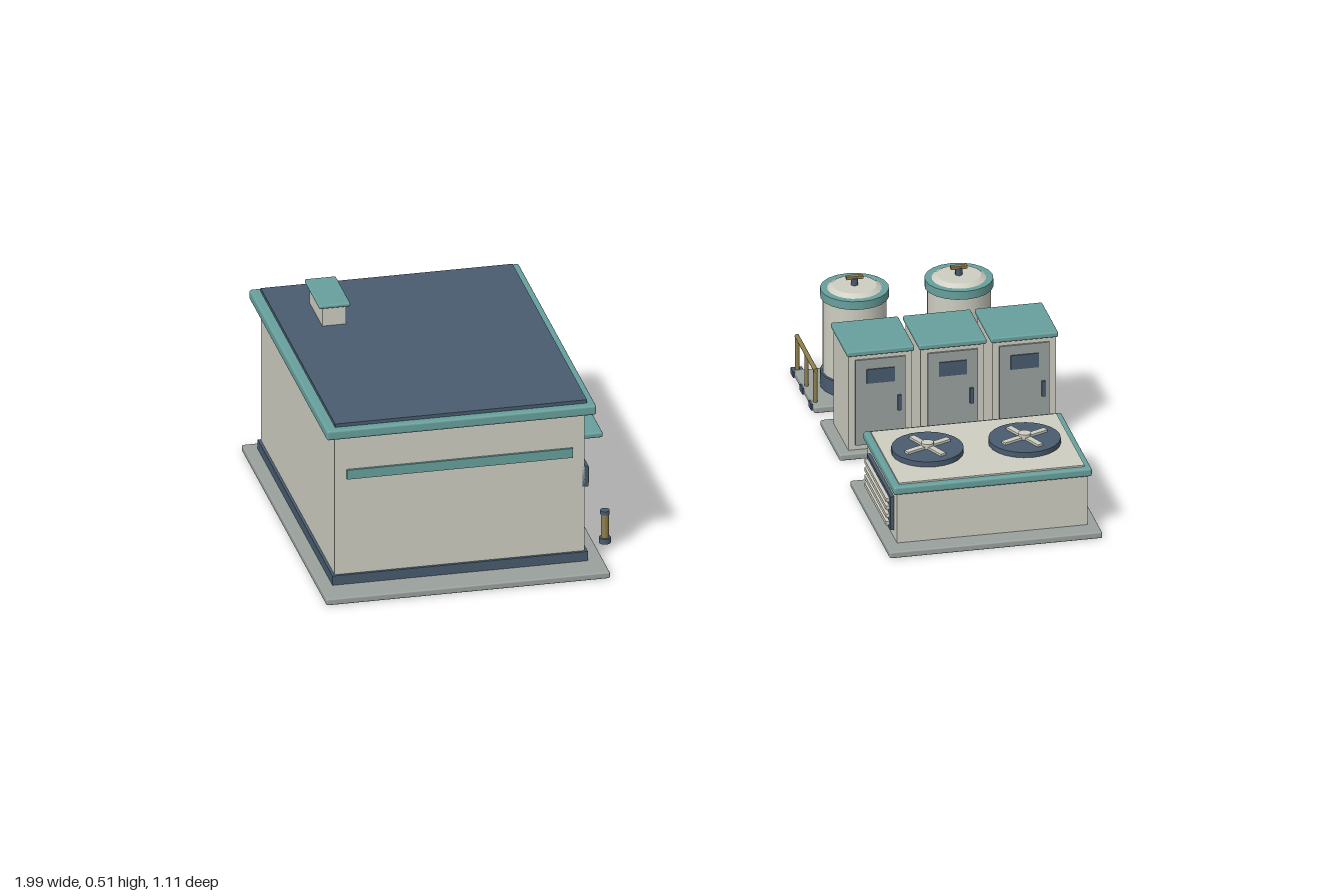
import * as THREE from 'three';
import { RoundedBoxGeometry } from 'three/addons/geometries/RoundedBoxGeometry.js';

const mat = (name, color) => Object.assign(new THREE.MeshStandardMaterial({ color }), { name });
const CREAM = mat('cream', 0xcfcec2), TEAL = mat('teal', 0x68a09d), NAVY = mat('navy', 0x495c6f);
const GREY = mat('concreteGrey', 0x9aa29e), BRASS = mat('brass', 0x8f7f4c);

function add(parent, name, geo, material, x = 0, y = 0, z = 0) {
  const m = new THREE.Mesh(geo, material);
  m.name = name;
  m.position.set(x, y, z);
  parent.add(m);
  return m;
}

// Box given by its extents; bevel > 0 softens the edges
function box(parent, name, material, x0, x1, y0, y1, z0, z1, bevel = 0) {
  const w = x1 - x0, h = y1 - y0, d = z1 - z0;
  const geo = bevel ? new RoundedBoxGeometry(w, h, d, 2, bevel) : new THREE.BoxGeometry(w, h, d);
  return add(parent, name, geo, material, (x0 + x1) / 2, (y0 + y1) / 2, (z0 + z1) / 2);
}

// Upright cylinder from y0 to y1
function drum(parent, name, material, x, z, y0, y1, r, sides = 16, rTop = r) {
  const geo = new THREE.CylinderGeometry(rTop, r, y1 - y0, sides);
  return add(parent, name, geo, material, x, (y0 + y1) / 2, z);
}

function group(parent, name) {
  const g = new THREE.Group();
  g.name = name;
  parent.add(g);
  return g;
}

// Louvre facing along x: dark panel with light slats
function louvre(parent, x, dir, y0, y1, z0, z1, slats) {
  const span = (a, b) => [Math.min(x + a * dir, x + b * dir), Math.max(x + a * dir, x + b * dir)];
  box(parent, 'louvrePanel', NAVY, ...span(0, 0.009), y0, y1, z0, z1);
  const step = (y1 - y0) / (slats + 0.3);
  for (let i = 0; i < slats; i++) {
    const y = y0 + step * (i + 0.65);
    box(parent, 'louvreSlat', CREAM, ...span(0, 0.018), y - step * 0.24, y + step * 0.24, z0 + 0.012, z1 - 0.012);
  }
}

function building(root) {
  const g = group(root, 'building');
  box(g, 'slab', GREY, -1, -0.285, 0, 0.017, -0.42, 0.51, 0.004);
  box(g, 'walls', CREAM, -0.96, -0.33, 0.015, 0.42, -0.38, 0.425);
  box(g, 'plinth', NAVY, -0.967, -0.323, 0.015, 0.042, -0.387, 0.432);
  box(g, 'roofTrim', TEAL, -0.985, -0.305, 0.417, 0.443, -0.405, 0.45, 0.006);
  box(g, 'roof', NAVY, -0.96, -0.325, 0.435, 0.452, -0.385, 0.43);
  box(g, 'roofVent', CREAM, -0.862, -0.802, 0.45, 0.503, -0.278, -0.135);
  box(g, 'roofVentCap', TEAL, -0.872, -0.793, 0.502, 0.512, -0.288, -0.125, 0.004);
  for (const z of [0.427, -0.382]) {
    box(g, 'wallStripe', TEAL, -0.93, -0.36, 0.299, 0.324, z - 0.004, z + 0.004);
  }

  // Double door with canopy
  box(g, 'doorFrame', NAVY, -0.335, -0.322, 0.02, 0.268, 0.02, 0.246);
  for (const [z0, z1, hz] of [[0.031, 0.131, 0.111], [0.1345, 0.235, 0.153]]) {
    box(g, 'doorLeaf', GREY, -0.33, -0.317, 0.028, 0.256, z0, z1);
    box(g, 'doorHandle', CREAM, -0.32, -0.308, 0.126, 0.162, hz - 0.005, hz + 0.005);
  }
  box(g, 'canopy', TEAL, -0.335, -0.257, 0.288, 0.303, -0.03, 0.31, 0.005);

  // Side window and louvre
  box(g, 'windowFrame', NAVY, -0.335, -0.32, 0.215, 0.27, 0.293, 0.425);
  box(g, 'windowPane', CREAM, -0.322, -0.317, 0.222, 0.263, 0.3, 0.418);
  louvre(g, -0.33, 1, 0.158, 0.272, -0.293, -0.11, 4);

  // Bollards beside the door
  for (const z of [-0.05, 0.3]) {
    drum(g, 'bollardFoot', NAVY, -0.25, z, 0, 0.014, 0.015);
    drum(g, 'bollard', BRASS, -0.25, z, 0.012, 0.078, 0.01);
    drum(g, 'bollardCap', NAVY, -0.25, z, 0.077, 0.087, 0.012);
  }
}

function coolingUnit(root) {
  const g = group(root, 'coolingUnit');
  box(g, 'slab', GREY, 0.41, 0.946, 0, 0.017, 0.12, 0.553, 0.004);
  box(g, 'housing', CREAM, 0.44, 0.92, 0.015, 0.155, 0.18, 0.502);
  box(g, 'housingTrim', TEAL, 0.43, 0.93, 0.15, 0.172, 0.172, 0.512, 0.006);
  box(g, 'topPanel', CREAM, 0.446, 0.914, 0.165, 0.176, 0.187, 0.496);
  louvre(g, 0.44, -1, 0.038, 0.128, 0.21, 0.47, 4);
  for (const x of [0.555, 0.8]) {
    const fan = group(g, 'fan');
    drum(fan, 'fanRing', NAVY, x, 0.335, 0.174, 0.19, 0.089, 24);
    for (let i = 0; i < 2; i++) {
      const blade = add(fan, 'fanBlade', new THREE.BoxGeometry(0.13, 0.006, 0.016), CREAM, x, 0.193, 0.335);
      blade.rotation.y = 0.42 + i * Math.PI / 2;
    }
    drum(fan, 'fanHub', CREAM, x, 0.335, 0.19, 0.203, 0.016, 12);
  }
}

function cabinets(root) {
  const g = group(root, 'cabinets');
  box(g, 'slab', GREY, 0.418, 0.992, 0, 0.017, -0.243, -0.03, 0.004);
  for (const x of [0.525, 0.707, 0.888]) {
    const c = group(g, 'cabinet');
    c.position.x = x;
    box(c, 'cabinetBody', CREAM, -0.08, 0.08, 0.015, 0.275, -0.217, -0.052);
    box(c, 'cabinetCap', TEAL, -0.085, 0.085, 0.272, 0.286, -0.225, -0.044, 0.004);
    box(c, 'cabinetDoor', GREY, -0.063, 0.063, 0.03, 0.26, -0.054, -0.047);
    box(c, 'cabinetDisplay', NAVY, -0.035, 0.035, 0.196, 0.234, -0.05, -0.044);
    box(c, 'cabinetHandle', NAVY, 0.042, 0.051, 0.118, 0.158, -0.05, -0.039);
  }
}

function tanks(root) {
  const g = group(root, 'tanks');
  const xs = [0.547, 0.81], z = -0.428;
  box(g, 'slab', GREY, 0.42, 0.922, 0, 0.017, -0.54, -0.315, 0.004);
  for (const x of xs) {
    const t = group(g, 'tank');
    drum(t, 'tankBase', NAVY, x, z, 0.015, 0.056, 0.085, 20);
    drum(t, 'tankBody', CREAM, x, z, 0.05, 0.26, 0.079, 20);
    drum(t, 'tankBand', TEAL, x, z, 0.256, 0.278, 0.085, 20);
    drum(t, 'tankLid', CREAM, x, z, 0.275, 0.286, 0.072, 20, 0.055);
    drum(t, 'valveStem', NAVY, x, z, 0.284, 0.305, 0.009, 10);
    box(t, 'valveHandle', BRASS, x - 0.021, x + 0.021, 0.302, 0.31, z - 0.006, z + 0.006);
  }

  // Outlets drop from each tank into one connecting pipe
  const pipe = (name, a, b) => {
    const path = new THREE.LineCurve3(new THREE.Vector3(...a), new THREE.Vector3(...b));
    add(g, name, new THREE.TubeGeometry(path, 1, 0.009, 10), TEAL);
  };
  const pz = -0.3, top = 0.094, low = 0.034;
  for (const x of xs) {
    pipe('outletPipe', [x, top, -0.36], [x, top, pz]);
    pipe('dropPipe', [x, top, pz], [x, low, pz]);
    for (const y of [top, low]) add(g, 'pipeElbow', new THREE.SphereGeometry(0.0095, 10, 8), TEAL, x, y, pz);
  }
  pipe('connectingPipe', [xs[0], low, pz], [xs[1], low, pz]);
}

function railings(root) {
  for (const x of [0.43, 0.977]) {
    const g = group(root, 'railing');
    g.position.x = x;
    for (const z of [-0.545, -0.445, -0.348]) {
      box(g, 'railFoot', NAVY, -0.014, 0.014, 0, 0.016, z - 0.014, z + 0.014);
      drum(g, 'railPost', BRASS, 0, z, 0.014, 0.104, 0.0055, 8);
    }
    const rail = add(g, 'topRail', new THREE.CylinderGeometry(0.006, 0.006, 0.208, 8), BRASS, 0, 0.103, -0.4465);
    rail.rotation.x = Math.PI / 2;
  }
}

export function createModel() {
  const root = new THREE.Group();
  root.name = 'plantRoomSite';
  building(root);
  coolingUnit(root);
  cabinets(root);
  tanks(root);
  railings(root);
  return root;
}
